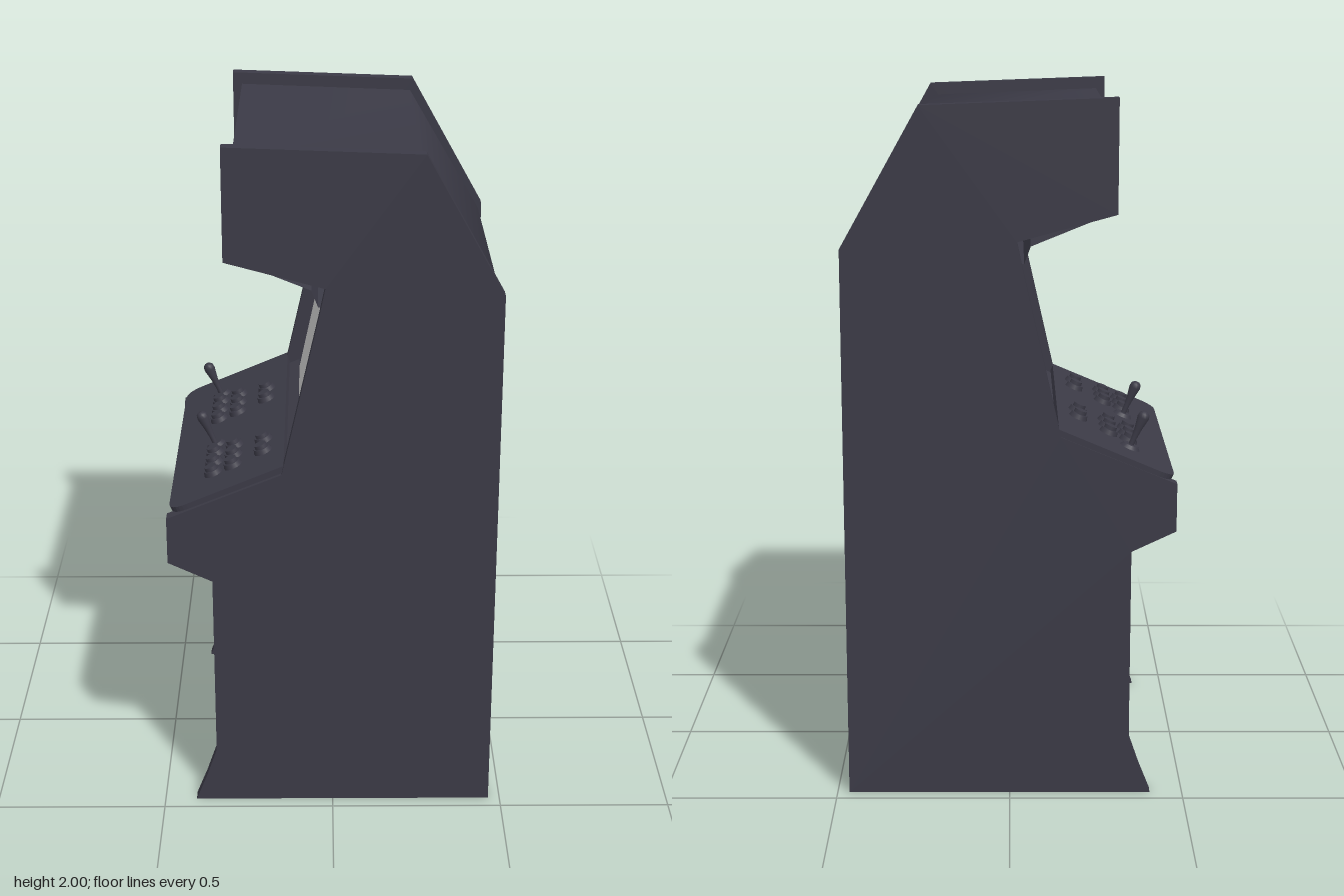
import * as THREE from 'three';

const dark = new THREE.MeshStandardMaterial({ color: 0x3b3a46, side: THREE.DoubleSide });
const grey = new THREE.MeshStandardMaterial({ color: 0xcccccc, side: THREE.DoubleSide });
const INNER = 0.42; // half width between the side panels

// Sheet swept across z along an x-y path; outside is left of the path direction
function sheet(name, path, { smooth = false, material = dark } = {}) {
  const pos = [], index = [];
  path.forEach(([x, y], i) => {
    pos.push(x, y, -INNER, x, y, INNER);
    if (i > 0) {
      const a = 2 * i - 2;
      index.push(a, a + 1, a + 2, a + 1, a + 3, a + 2);
    }
  });
  let g = new THREE.BufferGeometry();
  g.setAttribute('position', new THREE.Float32BufferAttribute(pos, 3));
  g.setIndex(index);
  if (!smooth) g = g.toNonIndexed();
  g.computeVertexNormals();
  const m = new THREE.Mesh(g, material);
  m.name = name;
  return m;
}

function mesh(name, geometry, y = 0) {
  const m = new THREE.Mesh(geometry, dark);
  m.name = name;
  m.position.y = y;
  return m;
}

function button() {
  const g = new THREE.Group();
  g.name = 'button';
  g.add(mesh('buttonRim', new THREE.CylinderGeometry(0.024, 0.028, 0.014, 12), 0.007));
  g.add(mesh('buttonPlunger', new THREE.CylinderGeometry(0.018, 0.019, 0.012, 12), 0.019));
  return g;
}

function joystick() {
  const g = new THREE.Group();
  g.name = 'joystick';
  g.add(mesh('joystickBase', new THREE.CylinderGeometry(0.022, 0.03, 0.01, 16), 0.005));
  const profile = [[0.008, 0], [0.008, 0.03], [0.011, 0.06], [0.017, 0.095], [0.015, 0.107], [0.008, 0.113], [0, 0.114]];
  g.add(mesh('joystickBat', new THREE.LatheGeometry(profile.map(p => new THREE.Vector2(...p)), 16)));
  return g;
}

export function createModel() {
  const model = new THREE.Group();
  model.name = 'arcadeCabinet';

  // Side panels
  const outline = [
    [-0.407, 0], [0.466, 0], [0.466, 1.59], [0.247, 1.98], [-0.295, 2], [-0.295, 1.685],
    [-0.02, 1.61], [-0.037, 1.53], [-0.143, 1.063], [-0.47, 0.928], [-0.47, 0.79],
    [-0.344, 0.73], [-0.344, 0.17], [-0.375, 0.08],
  ].map(p => new THREE.Vector2(...p));
  const panel = new THREE.ExtrudeGeometry(new THREE.Shape(outline), { depth: 0.038, bevelEnabled: false });
  for (const [name, z] of [['sidePanelFront', 0.42], ['sidePanelBack', -0.458]]) {
    const m = mesh(name, panel);
    m.position.z = z;
    model.add(m);
  }

  // Body sheets between the side panels
  model.add(
    sheet('topAndBackShell', [[-0.268, 1.965], [0.24, 1.945], [0.456, 1.575], [0.456, 0.03]], { smooth: true }),
    sheet('marquee', [[-0.235, 1.665], [-0.268, 1.965]]),
    sheet('speakerBoard', [[0, 1.54], [-0.04, 1.545], [-0.058, 1.593], [-0.235, 1.665]]),
    sheet('screen', [[-0.1, 1.05], [0.012, 1.57]], { material: grey }),
    sheet('controlBox', [[-0.25, 0.74], [-0.44, 0.81], [-0.44, 0.935], [-0.1, 1.075]]),
    sheet('kickPanel', [[-0.25, 0.01], [-0.25, 0.75]]),
  );
  const floor = mesh('floorBoard', new THREE.BoxGeometry(0.71, 0.045, 2 * INNER), 0.0325);
  floor.position.x = 0.106;
  model.add(floor);

  // Sloped control deck; local x runs up the slope, local y is its normal
  const deck = new THREE.Group();
  deck.name = 'controlDeck';
  deck.position.set(-0.464, 0.947, 0);
  deck.rotation.z = 0.4;
  const L = 0.354, z0 = -0.455, z1 = 0.445, r = 0.055;
  const plate = new THREE.Shape();
  plate.moveTo(L, z0);
  plate.lineTo(L, z1);
  plate.lineTo(r, z1);
  plate.quadraticCurveTo(0, z1, 0, z1 - r);
  plate.lineTo(0, z0 + r);
  plate.quadraticCurveTo(0, z0, r, z0);
  const plateGeo = new THREE.ExtrudeGeometry(plate, { depth: 0.018, bevelEnabled: false, curveSegments: 8 });
  plateGeo.rotateX(Math.PI / 2);
  deck.add(mesh('deckPlate', plateGeo));

  // Two player stations
  const place = (part, x, z) => {
    part.position.set(x, 0, z);
    deck.add(part);
  };
  for (const z of [-0.31, 0.09]) {
    place(joystick(), 0.13, z);
    for (let i = 0; i < 3; i++)
      for (const x of [0.132, 0.194]) place(button(), x, z + 0.07 + i * 0.069);
    for (const dz of [0.11, 0.19]) place(button(), 0.288, z + dz);
  }
  model.add(deck);
  return model;
}
